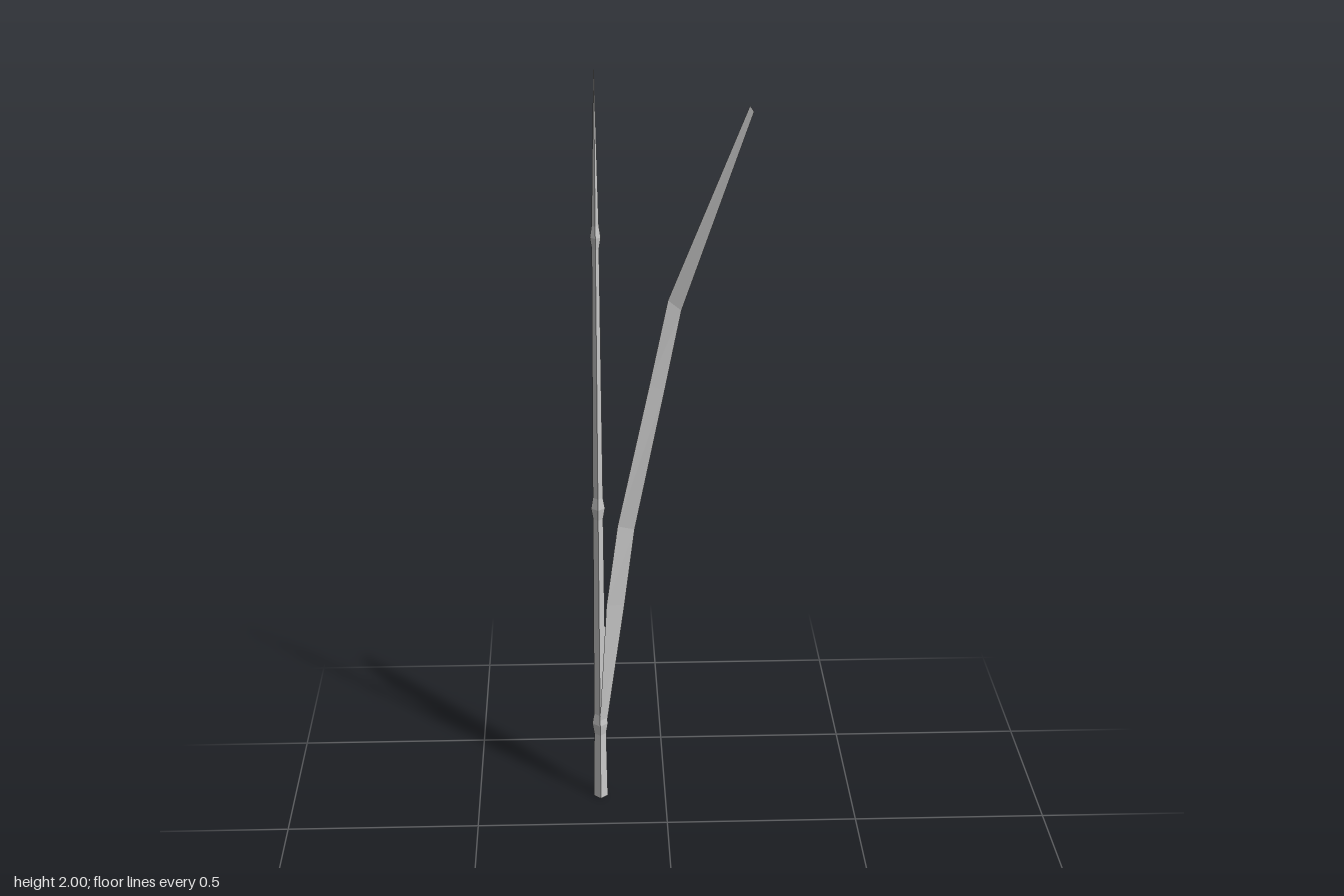
import * as THREE from 'three';

// Builds a surface from rows of points; closed rows wrap round.
function loft(rows, closed) {
  const n = rows[0].length, index = [];
  for (let i = 0; i < rows.length - 1; i++) {
    for (let j = 0; j < (closed ? n : n - 1); j++) {
      const a = i * n + j, b = i * n + (j + 1) % n;
      index.push(a, a + n, b, b, a + n, b + n);
    }
  }
  const g = new THREE.BufferGeometry();
  g.setAttribute('position', new THREE.Float32BufferAttribute(rows.flat(2), 3));
  g.setIndex(index);
  g.computeVertexNormals();
  return g;
}

export function createModel() {
  const group = new THREE.Group();
  const material = new THREE.MeshStandardMaterial({
    color: 0xcccccc, flatShading: true, side: THREE.DoubleSide,
  });
  const add = (name, geometry) => {
    const mesh = new THREE.Mesh(geometry, material);
    mesh.name = name;
    group.add(mesh);
  };

  // Four-sided stem with swollen joints: height, centre z, radius
  const stem = [
    [0, -0.158, 0], [0, -0.158, 0.019], [0.19, -0.152, 0.016],
    [0.22, -0.151, 0.021], [0.25, -0.149, 0.016], [0.82, -0.119, 0.013],
    [0.85, -0.117, 0.018], [0.88, -0.115, 0.013], [1.55, -0.073, 0.009],
    [1.58, -0.071, 0.0135], [1.61, -0.069, 0.009], [2, -0.04, 0.001],
    [2, -0.04, 0],
  ];
  add('stem', loft(stem.map(([y, z, r]) => [0, 1, 2, 3].map((k) => {
    const a = k * Math.PI / 2;
    return [-0.174 + r * Math.cos(a), y, z + r * Math.sin(a)];
  })), true));

  // Thin arching leaf blade: one edge point pair per row
  const blade = [
    [[-0.157, 0.21, -0.153], [-0.175, 0.23, -0.132]],
    [[-0.107, 0.57, -0.138], [-0.155, 0.59, -0.085]],
    [[-0.08, 0.79, -0.117], [-0.125, 0.82, -0.066]],
    [[-0.005, 1.19, -0.047], [-0.044, 1.22, -0.007]],
    [[0.035, 1.41, -0.008], [0, 1.45, 0.037]],
    [[0.195, 1.94, 0.166], [0.184, 1.957, 0.18]],
  ];
  add('leaf', loft(blade, false));
  return group;
}
